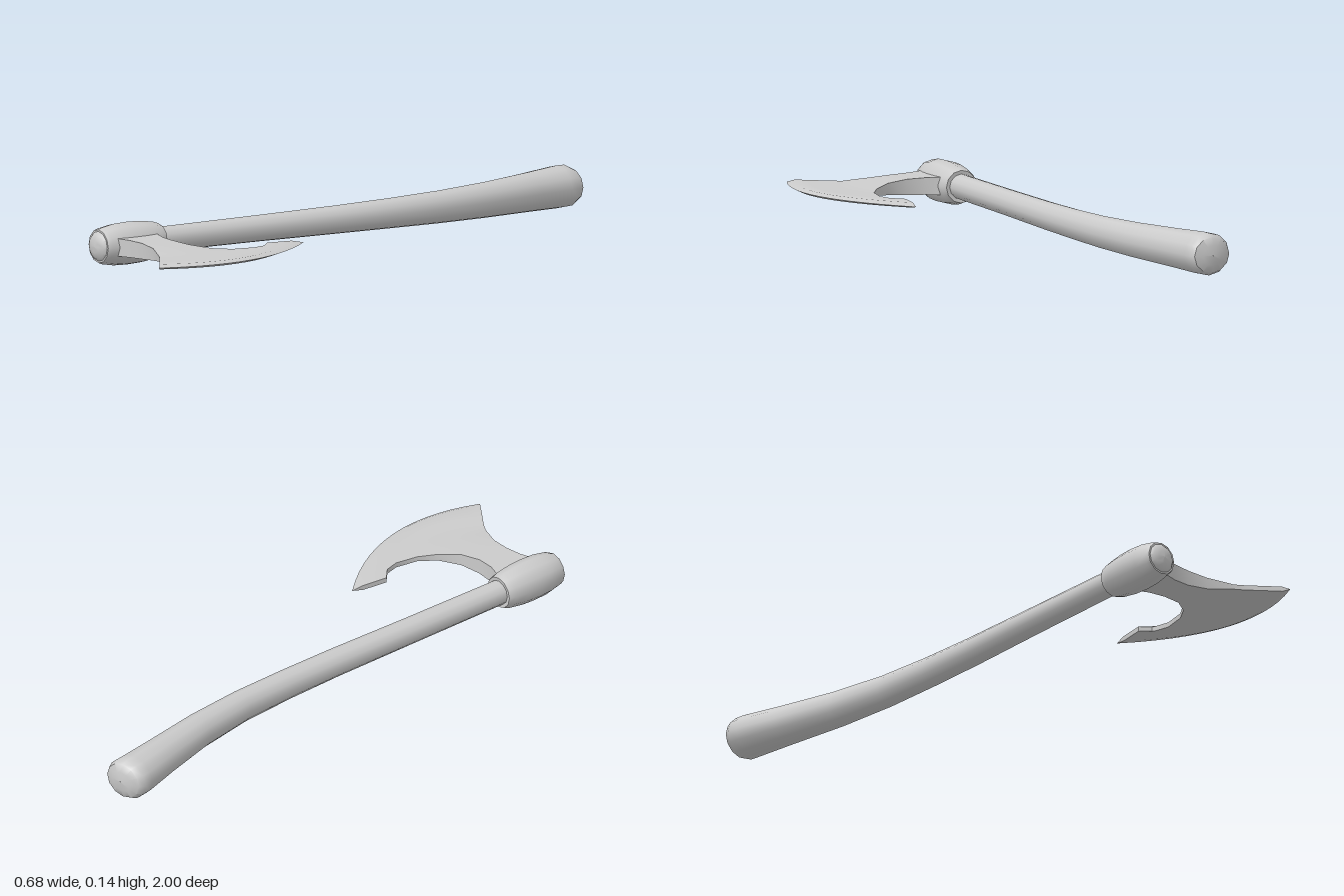
import * as THREE from 'three';
import { toCreasedNormals } from 'three/addons/utils/BufferGeometryUtils.js';

const AXIS_Y = 0.07, AXIS_X = -0.16, SIDES = 12;

// Skin closed rings of [x, y, z] points, wound counter-clockwise along the travel direction
function loft(rings, crease) {
  const n = rings[0].length, index = [];
  for (let i = 0; i < rings.length - 1; i++) {
    for (let j = 0; j < n; j++) {
      const a = i * n + j, b = i * n + (j + 1) % n;
      index.push(a, b, b + n, a, b + n, a + n);
    }
  }
  const g = new THREE.BufferGeometry();
  g.setAttribute('position', new THREE.Float32BufferAttribute(rings.flat(2), 3));
  g.setIndex(index);
  return toCreasedNormals(g, crease);
}

// Curved handle: elliptical sections [z, x, half width, half height, tilt]
function handleGeometry() {
  const sections = [
    [-0.994, -0.267, 0.001, 0.001, -0.15],
    [-0.99, -0.267, 0.035, 0.032, -0.15],
    [-0.982, -0.267, 0.064, 0.057, -0.15],
    [-0.962, -0.266, 0.074, 0.067, -0.15],
    [-0.93, -0.262, 0.073, 0.068, -0.15],
    [-0.8, -0.232, 0.063, 0.063, -0.18],
    [-0.6, -0.188, 0.053, 0.057, -0.17],
    [-0.4, -0.161, 0.046, 0.052, -0.1],
    [-0.2, -0.152, 0.044, 0.048, -0.04],
    [0, -0.15, 0.044, 0.045, 0],
    [0.3, -0.155, 0.042, 0.042, 0.02],
    [0.68, AXIS_X, 0.04, 0.04, 0],
    [0.88, AXIS_X, 0.05, 0.05, 0],
    [0.905, AXIS_X, 0.05, 0.05, 0],
    [0.917, AXIS_X, 0.039, 0.039, 0],
    [0.923, AXIS_X, 0.02, 0.02, 0],
    [0.925, AXIS_X, 0.001, 0.001, 0],
  ];
  return loft(sections.map(([z, x, rx, ry, tilt]) =>
    Array.from({ length: SIDES }, (_, j) => {
      const a = j / SIDES * Math.PI * 2, dx = Math.cos(a) * rx;
      return [x + dx, AXIS_Y + Math.sin(a) * ry, z + dx * tilt];
    })), 0.85);
}

// Barrel-shaped socket around the handle
function socketGeometry() {
  const profile = [
    [0.038, 0.68], [0.052, 0.678], [0.059, 0.7], [0.066, 0.75], [0.068, 0.8],
    [0.066, 0.85], [0.058, 0.895], [0.053, 0.908], [0.046, 0.908],
  ].map(([r, z]) => new THREE.Vector2(r, z));
  const g = new THREE.LatheGeometry(profile, SIDES);
  g.rotateX(Math.PI / 2).translate(AXIS_X, AXIS_Y, 0);
  return toCreasedNormals(g, 0.85);
}

// Bearded blade: rows from neck to cutting edge, each bowed outwards between
// its beard end and its toe end: [x, z, x, z, bow, half thickness]
function bladeGeometry() {
  const rows = [
    [-0.13, 0.71, -0.13, 0.88, 0, 0.032],
    [-0.1, 0.721, -0.1, 0.87, 0, 0.028],
    [-0.06, 0.735, -0.06, 0.858, 0, 0.027],
    [0, 0.74, 0, 0.853, 0, 0.025],
    [0.07, 0.725, 0.07, 0.862, 0.01, 0.019],
    [0.13, 0.68, 0.13, 0.888, 0.025, 0.011],
    [0.165, 0.625, 0.15, 0.897, 0.04, 0.008],
    [0.18, 0.55, 0.175, 0.912, 0.06, 0.008],
    [0.165, 0.49, 0.2, 0.93, 0.085, 0.008],
    [0.13, 0.465, 0.22, 0.945, 0.105, 0.008],
    [0.142, 0.38, 0.275, 0.985, 0.11, 0.008],
    [0.15, 0.34, 0.295, 1.0, 0.11, 0],
  ];
  const N = 14;
  return loft(rows.map(([x0, z0, x1, z1, bow, half]) => {
    const side = s => Array.from({ length: N + 1 }, (_, k) => {
      const t = k / N;
      return [x0 + (x1 - x0) * t + 4 * bow * t * (1 - t), AXIS_Y + s * half, z0 + (z1 - z0) * t];
    });
    return [...side(1), ...side(-1).reverse()];
  }), 0.5);
}

export function createModel() {
  const group = new THREE.Group();
  group.name = 'axe';
  const material = new THREE.MeshStandardMaterial({ color: 0xcccccc, side: THREE.DoubleSide });
  const parts = { handle: handleGeometry(), socket: socketGeometry(), blade: bladeGeometry() };
  for (const [name, geometry] of Object.entries(parts)) {
    const mesh = new THREE.Mesh(geometry, material);
    mesh.name = name;
    group.add(mesh);
  }
  return group;
}
